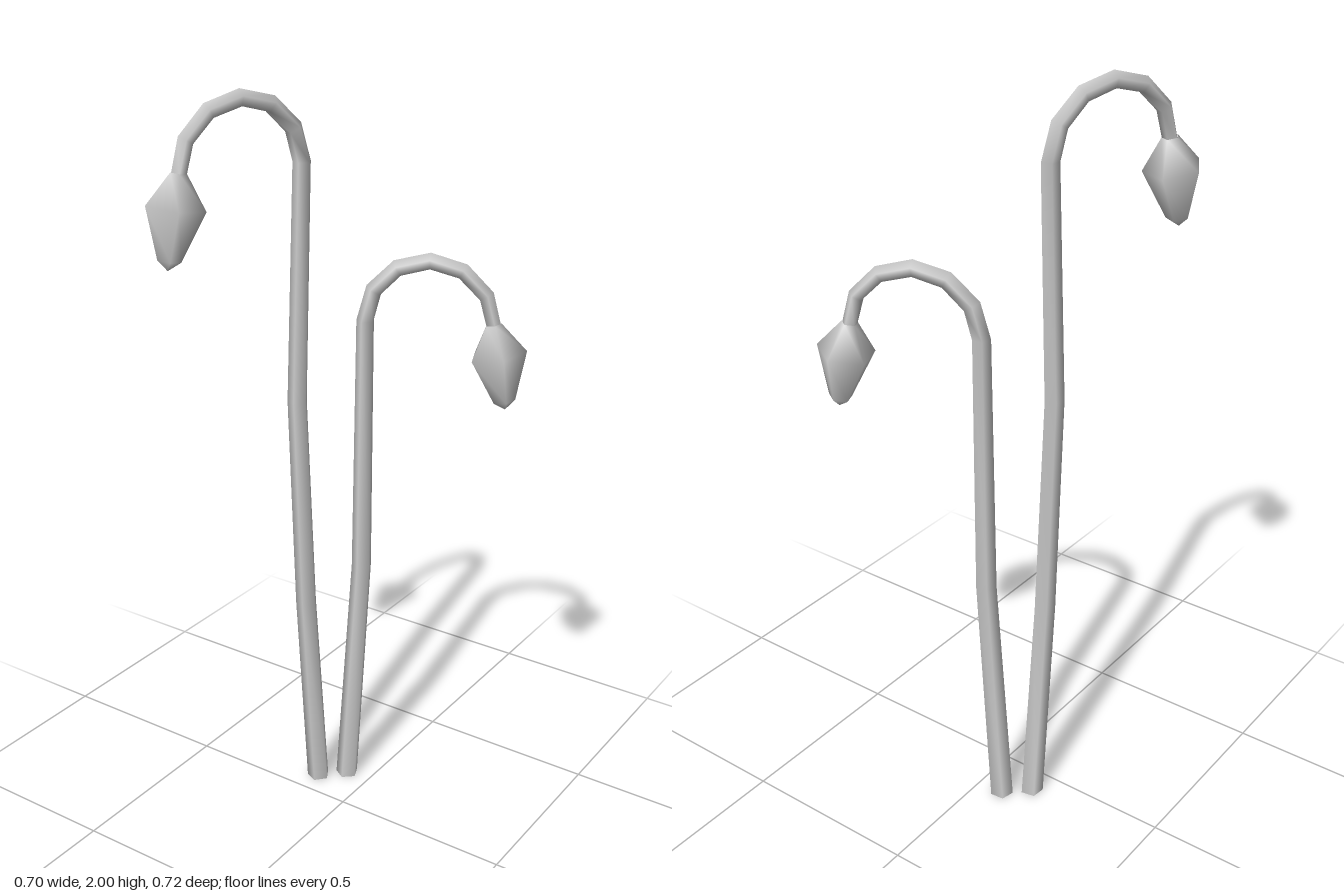
import * as THREE from 'three';

const SIDES = 5;
const V = (x, y, z) => new THREE.Vector3(x, y, z);
const UP = V(0, 1, 0);

// Skin a row of five-sided rings; each ring is { c: centre, r: radius, a: turn from upright }
function loft(rings, out, name, material) {
  const pos = [], index = [];
  rings.forEach(({ c, r, a }, i) => {
    const t = out.clone().multiplyScalar(Math.sin(a)).addScaledVector(UP, Math.cos(a));
    const n = out.clone().multiplyScalar(-Math.cos(a)).addScaledVector(UP, Math.sin(a));
    const b = t.clone().cross(n);
    for (let j = 0; j < SIDES; j++) {
      const q = (j / SIDES) * Math.PI * 2;
      const p = c.clone().addScaledVector(n, r * Math.cos(q)).addScaledVector(b, r * Math.sin(q));
      pos.push(p.x, p.y, p.z);
      if (i < rings.length - 1) {
        const k = i * SIDES + j, l = i * SIDES + (j + 1) % SIDES;
        index.push(k, l, k + SIDES, l, l + SIDES, k + SIDES);
      }
    }
  });
  const geo = new THREE.BufferGeometry();
  geo.setAttribute('position', new THREE.Float32BufferAttribute(pos, 3));
  geo.setIndex(index);
  geo.computeVertexNormals();
  const mesh = new THREE.Mesh(geo, material);
  mesh.name = name;
  return mesh;
}

// One drooping flower: rising stalk, half-circle hook, hanging bud
function flower(name, stalk, end, material) {
  const group = new THREE.Group();
  group.name = name;
  const start = stalk[stalk.length - 1];
  const tip = V(end[0], start.y, end[1]);
  const span = tip.clone().sub(start);
  const radius = span.length() / 2;
  const out = span.clone().normalize();

  // Stalk, tapering upward
  const rings = stalk.map((c) => ({ c, r: 0.032 - 0.008 * (c.y / start.y), a: 0 }));
  // Hook in six steps
  const mid = start.clone().add(tip).multiplyScalar(0.5);
  for (let i = 1; i <= 6; i++) {
    const a = (i / 6) * Math.PI;
    const c = mid.clone().addScaledVector(out, -radius * Math.cos(a)).addScaledVector(UP, radius * Math.sin(a));
    rings.push({ c, r: 0.024 - 0.004 * (i / 6), a });
  }
  group.add(loft(rings, out, 'stem', material));
  group.add(loft([{ c: stalk[0], r: 0, a: 0 }, { c: stalk[0], r: 0.032, a: 0 }], out, 'stemBase', material));

  // Bud, tilted slightly outward: [distance along axis, radius]
  const tilt = Math.PI - 0.17;
  const axis = out.clone().multiplyScalar(Math.sin(tilt)).addScaledVector(UP, Math.cos(tilt));
  const bud = [[-0.01, 0.021], [0.07, 0.076], [0.197, 0.03], [0.222, 0]].map(([d, r]) => (
    { c: tip.clone().addScaledVector(axis, d), r, a: tilt }));
  group.add(loft(bud, out, 'bud', material));
  return group;
}

export function createModel() {
  const model = new THREE.Group();
  model.name = 'droopingFlowers';
  const material = new THREE.MeshStandardMaterial({ color: 0xcccccc });
  model.add(flower('tallFlower', [
    V(-0.135, 0, -0.072), V(-0.137, 0.6, -0.024), V(-0.138, 1.2, 0.004), V(-0.134, 1.815, -0.022),
  ], [-0.272, 0.281], material));
  model.add(flower('shortFlower', [
    V(-0.073, 0, -0.13), V(-0.036, 0.69, -0.146), V(-0.034, 1.395, -0.154),
  ], [0.27, -0.284], material));
  return model;
}
